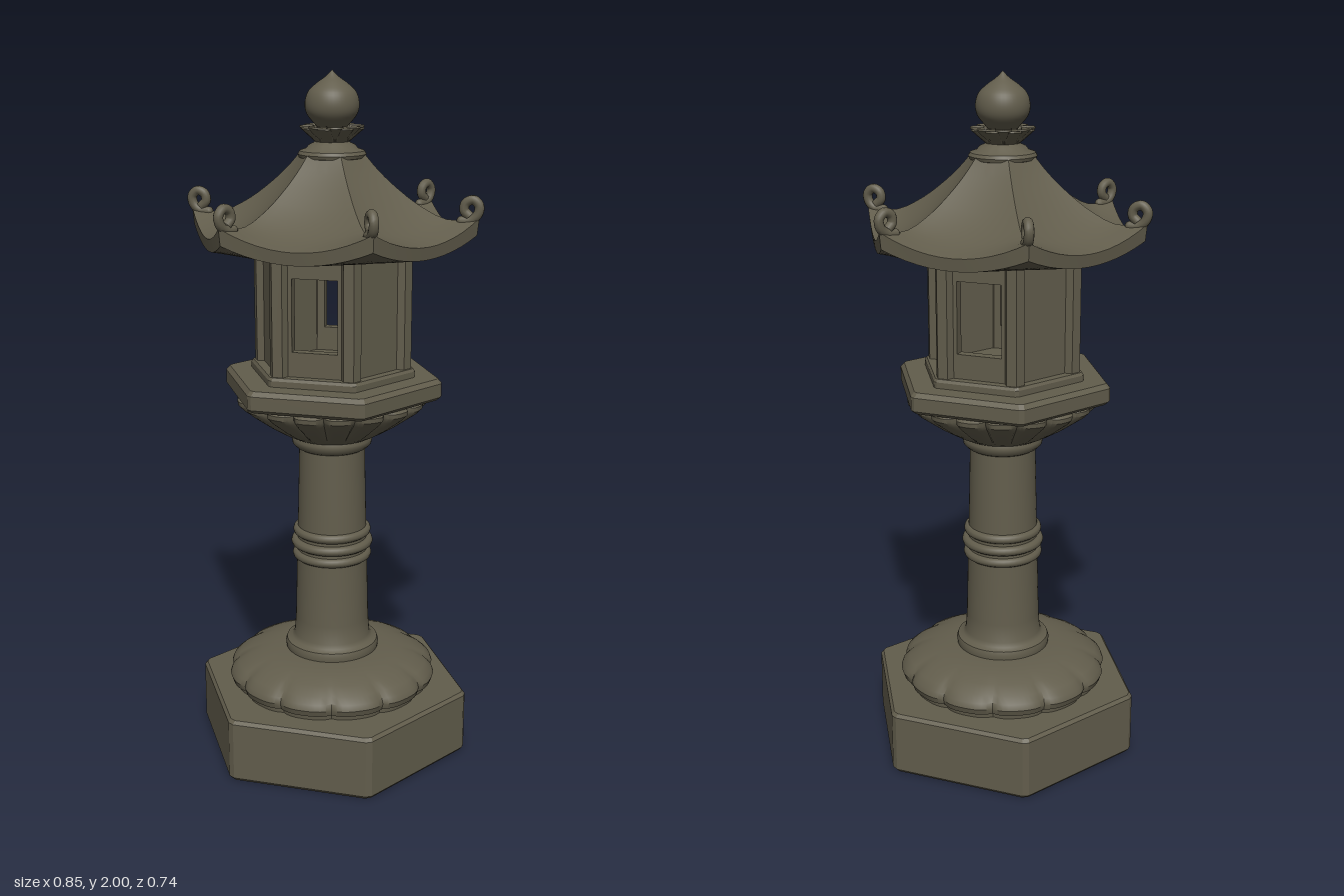
import * as THREE from 'three';
import { toCreasedNormals, mergeVertices } from 'three/addons/utils/BufferGeometryUtils.js';

const stone = new THREE.MeshStandardMaterial({ color: 0x625d4c });
stone.name = 'darkStone';

const SIDES = 6;
const v2 = (pts) => pts.map(([r, y]) => new THREE.Vector2(r, y));

function add(parent, name, geometry) {
  const mesh = new THREE.Mesh(geometry, stone);
  mesh.name = name;
  parent.add(mesh);
  return mesh;
}

// Hexagonal block with slightly cut corners on the x axis, profile from bottom to top
function hexBlock(pts, cut = 0.023) {
  const geo = new THREE.LatheGeometry(v2(pts), SIDES * 2, Math.PI / 2);
  const p = geo.attributes.position;
  for (let i = 0; i < p.count; i++) {
    const column = Math.floor(i / pts.length);
    const angle = Math.PI / 2 + Math.floor(column / 2) * (Math.PI / 3) + (column % 2 ? cut : -cut);
    const r = pts[i % pts.length][0];
    p.setX(i, r * Math.sin(angle));
    p.setZ(i, r * Math.cos(angle));
  }
  return toCreasedNormals(geo, 0.3);
}

// Round turned part
const turned = (pts, segments = 48) =>
  toCreasedNormals(new THREE.LatheGeometry(v2(pts), segments), 0.7);

// Turned part whose outline is cut into petals; depth(r, y) sets the groove depth
function petalled(pts, count, depth) {
  const geo = new THREE.LatheGeometry(v2(pts), count * 10);
  const p = geo.attributes.position;
  for (let i = 0; i < p.count; i++) {
    const x = p.getX(i), y = p.getY(i), z = p.getZ(i);
    const bulge = Math.abs(Math.cos((Math.atan2(x, z) * count) / 2));
    const k = 1 - depth(Math.hypot(x, z), y) * (1 - bulge) ** 2;
    p.setXYZ(i, x * k, y, z * k);
  }
  return toCreasedNormals(geo, 0.6);
}

// Hexagonal roof: every row is (corner radius, height at corner, height at mid-side)
function roofGeometry() {
  const row = (r, corner, mid) => new THREE.Vector3(r, corner, mid);
  const under = new THREE.CatmullRomCurve3([
    row(0.13, 1.508, 1.508), row(0.24, 1.508, 1.506), row(0.33, 1.527, 1.512), row(0.41, 1.565, 1.522),
  ]).getPoints(8);
  const top = new THREE.CatmullRomCurve3([
    row(0.415, 1.612, 1.557), row(0.33, 1.605, 1.577), row(0.25, 1.64, 1.622),
    row(0.18, 1.69, 1.68), row(0.13, 1.735, 1.73), row(0.09, 1.78, 1.78),
  ]).getPoints(14);
  const rows = [row(0, 1.508, 1.508), ...under, ...top, row(0, 1.78, 1.78)];
  const N = 12, pos = [], idx = [];
  for (let s = 0; s < SIDES; s++) {
    const a = Math.PI / 2 + (s * Math.PI) / 3, b = a + Math.PI / 3;
    const base = pos.length / 3;
    for (const q of rows) {
      for (let i = 0; i <= N; i++) {
        const u = i / N, w = (2 * u - 1) ** 2;
        pos.push(
          q.x * THREE.MathUtils.lerp(Math.sin(a), Math.sin(b), u),
          THREE.MathUtils.lerp(q.z, q.y, w),
          q.x * THREE.MathUtils.lerp(Math.cos(a), Math.cos(b), u)
        );
      }
    }
    for (let j = 0; j < rows.length - 1; j++) {
      for (let i = 0; i < N; i++) {
        const p = base + j * (N + 1) + i, q = p + N + 1;
        idx.push(p, p + 1, q, p + 1, q + 1, q);
      }
    }
  }
  const geo = new THREE.BufferGeometry();
  geo.setAttribute('position', new THREE.Float32BufferAttribute(pos, 3));
  geo.setIndex(idx);
  return toCreasedNormals(mergeVertices(geo), 0.3);
}

// Chamber wall panel, optionally pierced by a window
function wallGeometry(open) {
  const w = 0.107, shape = new THREE.Shape();
  shape.moveTo(-w, 1.165).lineTo(w, 1.165).lineTo(w, 1.515).lineTo(-w, 1.515).closePath();
  if (open) {
    const hole = new THREE.Path();
    hole.moveTo(-0.065, 1.25).lineTo(-0.065, 1.455).lineTo(0.065, 1.455).lineTo(0.065, 1.25).closePath();
    shape.holes.push(hole);
  }
  return new THREE.ExtrudeGeometry(shape, { depth: 0.03, bevelEnabled: false }).translate(0, 0, 0.152);
}

export function createModel() {
  const lantern = new THREE.Group();
  lantern.name = 'stoneLantern';

  // Hollow plinth, open underneath
  add(lantern, 'plinth', hexBlock([
    [0, 0.18], [0.395, 0.18], [0.402, 0], [0.411, 0.01],
    [0.411, 0.182], [0.402, 0.192], [0, 0.192],
  ]));

  // Lotus foot
  add(lantern, 'lotusFoot', petalled([
    [0, 0.19], [0.29, 0.19], [0.292, 0.205], [0.305, 0.21], [0.311, 0.228], [0.305, 0.245], [0.285, 0.262],
    [0.25, 0.28], [0.21, 0.293], [0.17, 0.3], [0.13, 0.302],
  ], 12, (r) => 0.045 * THREE.MathUtils.smoothstep(r, 0.2, 0.31)));

  // Column with its base moulding and top collar
  add(lantern, 'column', turned([
    [0.13, 0.295], [0.138, 0.3], [0.14, 0.315], [0.136, 0.327], [0.12, 0.333], [0.113, 0.345],
    [0.109, 0.4], [0.104, 0.6], [0.1, 0.75], [0.096, 0.93], [0.105, 0.935],
    [0.115, 0.945], [0.118, 0.96], [0.112, 0.975], [0.1, 0.98],
  ]));
  for (const [y, r] of [[0.602, 0.103], [0.64, 0.107], [0.676, 0.101]]) {
    const band = add(lantern, 'columnBand', new THREE.TorusGeometry(r, 0.014, 10, 48));
    band.rotation.x = Math.PI / 2;
    band.position.y = y;
  }

  // Fluted lotus bowl under the platform
  add(lantern, 'lotusBowl', petalled([
    [0.1, 0.965], [0.12, 0.97], [0.15, 0.985], [0.195, 1.012], [0.232, 1.038],
    [0.26, 1.058], [0.275, 1.073], [0.277, 1.086], [0.262, 1.097], [0, 1.098],
  ], 18, (r, y) => 0.1 * THREE.MathUtils.smoothstep(y, 0.965, 1.02)));

  // Platform and chamber sill
  add(lantern, 'platform', hexBlock([
    [0, 1.093], [0.308, 1.093], [0.32, 1.103], [0.32, 1.142], [0.308, 1.155], [0, 1.155],
  ]));
  add(lantern, 'chamberSill', hexBlock([
    [0, 1.15], [0.242, 1.15], [0.242, 1.172], [0.236, 1.18], [0, 1.18],
  ]));

  // Light chamber: six walls and corner posts, windows front and back
  const chamber = new THREE.Group();
  chamber.name = 'lightChamber';
  lantern.add(chamber);
  for (let s = 0; s < SIDES; s++) {
    const open = s % 3 === 0;
    const wall = add(chamber, open ? 'windowWall' : 'wall', wallGeometry(open));
    wall.rotation.y = (s * Math.PI) / 3;
    const a = Math.PI / 2 + (s * Math.PI) / 3;
    const post = add(chamber, 'cornerPost',
      toCreasedNormals(new THREE.CylinderGeometry(0.029, 0.029, 0.345, 6), 0.3));
    post.position.set(0.203 * Math.sin(a), 1.3425, 0.203 * Math.cos(a));
    post.rotation.y = a;
  }

  // Roof with upturned corners
  add(lantern, 'roof', roofGeometry());

  // Curled scroll on each roof corner
  const curl = new THREE.CatmullRomCurve3([
    [0.365, 1.603], [0.392, 1.606], [0.41, 1.622], [0.414, 1.645],
    [0.398, 1.661], [0.377, 1.653], [0.373, 1.632], [0.388, 1.616],
  ].map(([x, y]) => new THREE.Vector3(x, y, 0)));
  const curlGeo = new THREE.TubeGeometry(curl, 32, 0.0135, 10);
  const tipGeo = new THREE.SphereGeometry(0.0135, 10, 8);
  for (let s = 0; s < SIDES; s++) {
    const scroll = new THREE.Group();
    scroll.name = 'cornerScroll';
    scroll.rotation.y = (s * Math.PI) / 3;
    add(scroll, 'scrollCurl', curlGeo);
    add(scroll, 'scrollEnd', tipGeo).position.set(0.365, 1.603, 0);
    lantern.add(scroll);
  }

  // Roof cap and neck
  add(lantern, 'roofCap', turned([
    [0.08, 1.762], [0.092, 1.766], [0.095, 1.775], [0.09, 1.784], [0.072, 1.79],
    [0.064, 1.8], [0.05, 1.806], [0.042, 1.815], [0.042, 1.85],
  ]));

  // Pointed leaf collar in two layers
  for (const [i, lift] of [0, 0.004].entries()) {
    const leaves = add(lantern, 'leafCollar', petalled([
      [0.035, 1.8], [0.05, 1.81], [0.07, 1.827], [0.09, 1.844],
      [0.088, 1.848], [0.065, 1.836], [0.035, 1.825],
    ], 8, (r) => 0.38 * THREE.MathUtils.smoothstep(r, 0.045, 0.09)));
    leaves.position.y = lift;
    leaves.rotation.y = (i * Math.PI) / 8;
  }

  // Jewel finial
  const finial = new THREE.SplineCurve(v2([
    [0.03, 1.835], [0.048, 1.855], [0.07, 1.883], [0.075, 1.912], [0.066, 1.942],
    [0.042, 1.965], [0.018, 1.982], [0, 2],
  ])).getPoints(28);
  add(lantern, 'jewelFinial', new THREE.LatheGeometry(finial, 40));

  return lantern;
}
